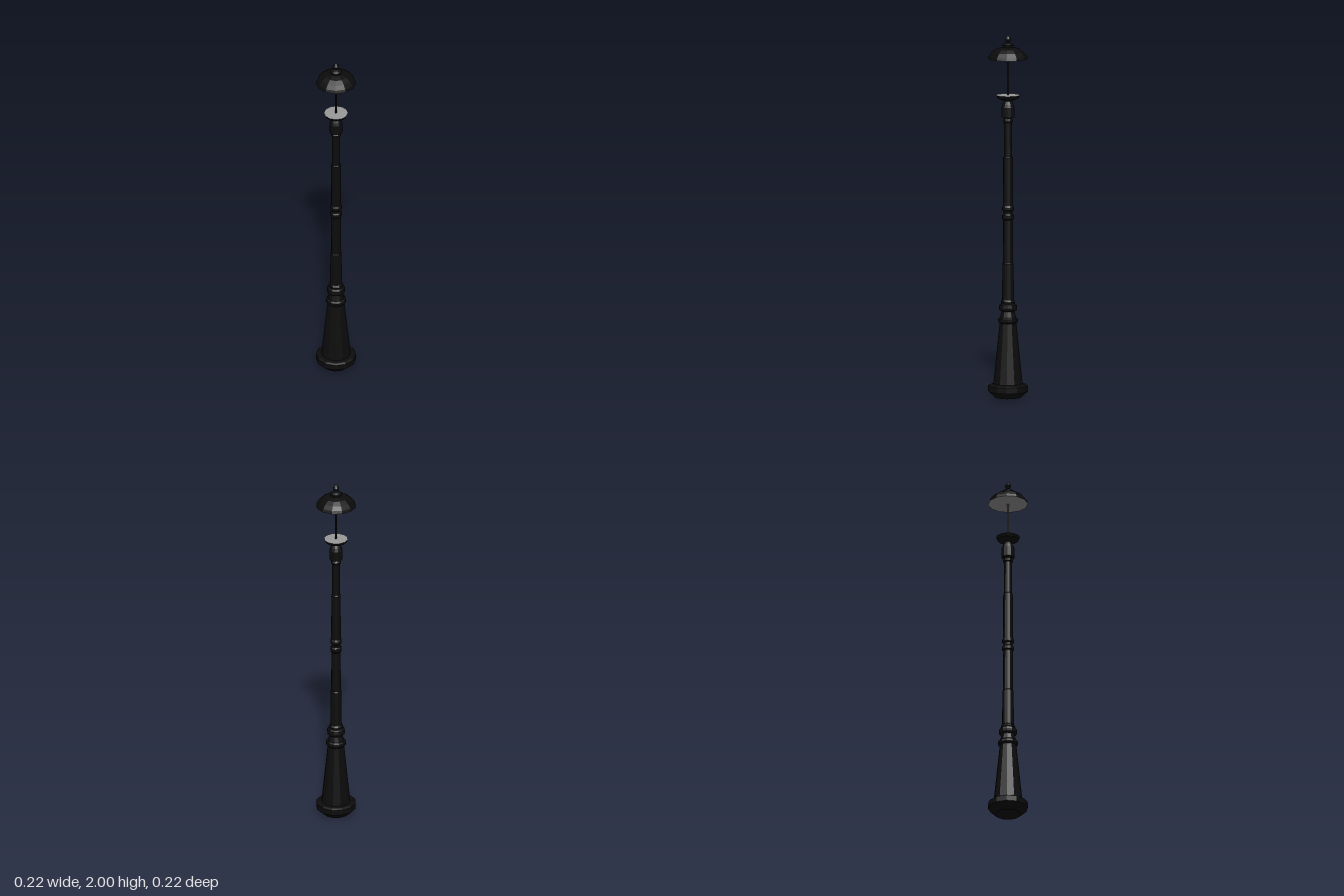
import * as THREE from 'three';

const SIDES = 12;

export function createModel() {
  const model = new THREE.Group();
  model.name = 'streetLamp';

  const iron = new THREE.MeshStandardMaterial({ color: 0x0c0c0c, flatShading: true });
  iron.name = 'black iron';
  const panel = new THREE.MeshStandardMaterial({ color: 0x9a9a9a, flatShading: true });
  panel.name = 'grey panel';

  const add = (name, geometry, material, y = 0) => {
    const mesh = new THREE.Mesh(geometry, material);
    mesh.name = name;
    mesh.position.y = y;
    model.add(mesh);
    return mesh;
  };

  // Turned part from [radius, height] pairs, listed bottom to top
  const turned = (name, profile) =>
    add(name, new THREE.LatheGeometry(profile.map(([r, y]) => new THREE.Vector2(r, y)), SIDES), iron);

  // Plinth and tapered pedestal
  turned('plinth', [[0, 0], [0.07, 0], [0.109, 0.035], [0.11, 0.066], [0.1, 0.072], [0.08, 0.076]]);
  turned('pedestal', [[0.08, 0.074], [0.046, 0.41]]);

  // Two collars on top of the pedestal
  turned('pedestalCollars', [
    [0.046, 0.41], [0.055, 0.42], [0.055, 0.435], [0.044, 0.443], [0.036, 0.475],
    [0.048, 0.483], [0.05, 0.497], [0.048, 0.51], [0.037, 0.518], [0.039, 0.53], [0.032, 0.54],
  ]);

  // Post with a double ring halfway up
  turned('lowerPost', [[0.032, 0.54], [0.031, 0.74], [0.027, 0.745], [0.026, 0.98]]);
  turned('middleRings', [
    [0.026, 0.98], [0.032, 0.988], [0.032, 1.006], [0.025, 1.014],
    [0.025, 1.026], [0.032, 1.034], [0.032, 1.05], [0.027, 1.06],
  ]);
  turned('upperPost', [[0.027, 1.06], [0.026, 1.325], [0.022, 1.33], [0.021, 1.515]]);

  // Head of the post and the dish above it
  turned('postHead', [
    [0.021, 1.515], [0.027, 1.52], [0.027, 1.53], [0.022, 1.537], [0.024, 1.543],
    [0.036, 1.545], [0.036, 1.6], [0.03, 1.617], [0.02, 1.635],
  ]);
  turned('dish', [[0.02, 1.635], [0.034, 1.64], [0.058, 1.65], [0.066, 1.667]]);
  add('dishPanel', new THREE.CircleGeometry(0.066, SIDES).rotateX(-Math.PI / 2), panel, 1.667);

  // Thin rod carrying the shade
  add('rod', new THREE.CylinderGeometry(0.0045, 0.0045, 0.22, 8), iron, 1.765);

  // Domed shade with a pale underside
  turned('shade', [[0.11, 1.868], [0.104, 1.884], [0.088, 1.905], [0.064, 1.922], [0.03, 1.932]]);
  add('shadePanel', new THREE.CircleGeometry(0.11, SIDES).rotateX(Math.PI / 2), panel, 1.868);

  // Finial
  turned('finial', [
    [0.03, 1.932], [0.032, 1.944], [0.022, 1.951], [0.008, 1.957], [0.018, 1.976], [0.009, 1.99], [0, 2],
  ]);

  return model;
}
